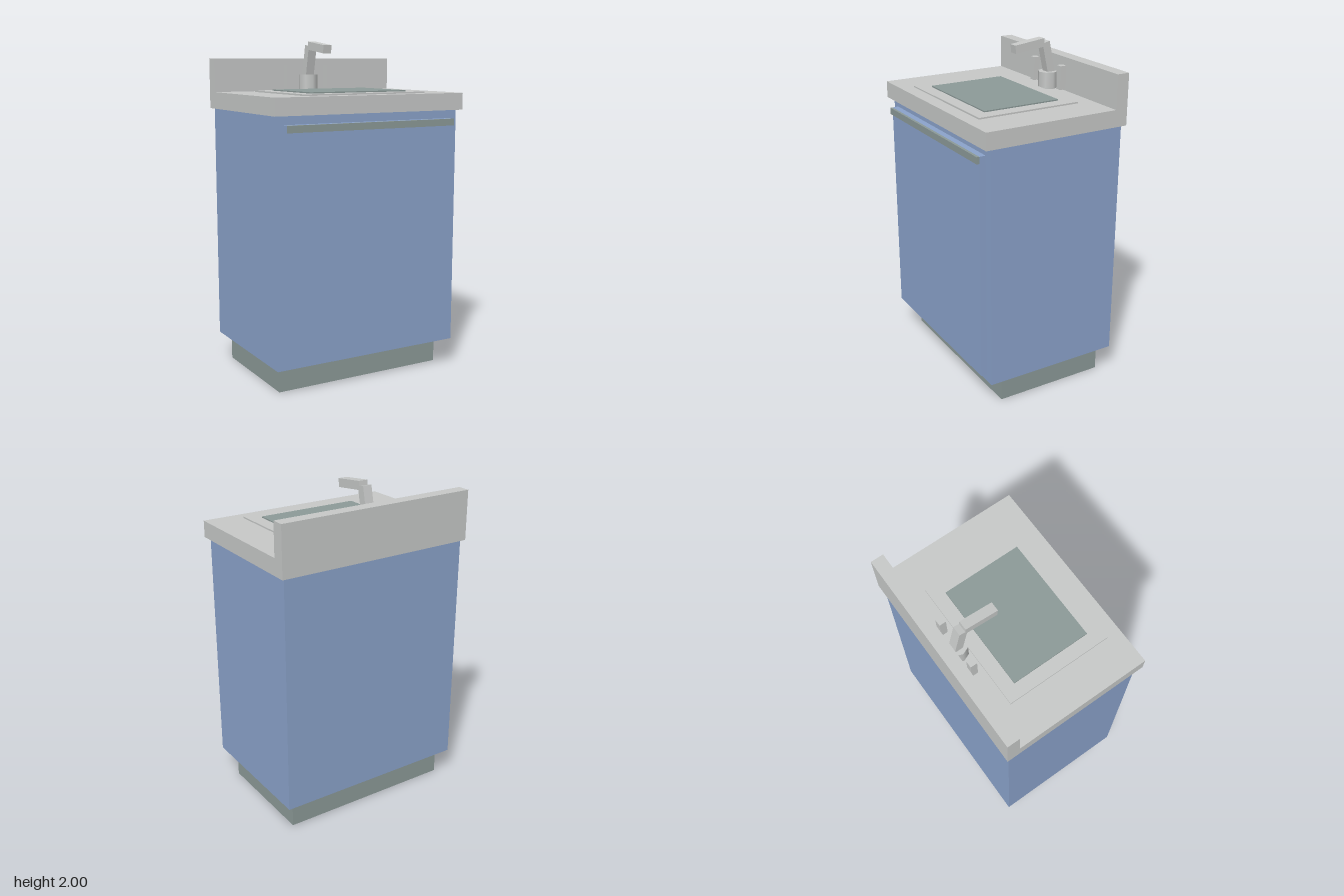
import * as THREE from 'three';

export function createModel() {
  const model = new THREE.Group();
  model.name = 'sinkCabinet';

  const paint = (name, color) => {
    const m = new THREE.MeshStandardMaterial({ color });
    m.name = name;
    return m;
  };
  const blue = paint('cabinetBlue', 0x8ba3cb);
  const grey = paint('counterGrey', 0xc7c9c8);
  const slate = paint('slateGrey', 0x8c9a98);

  const add = (name, geometry, material, x, y, z, tilt = 0) => {
    const mesh = new THREE.Mesh(geometry, material);
    mesh.name = name;
    mesh.position.set(x, y, z);
    mesh.rotation.x = tilt;
    model.add(mesh);
    return mesh;
  };
  // Box given by its half width and its y and z ranges
  const slab = (name, material, halfX, y0, y1, z0, z1, x = 0) =>
    add(name, new THREE.BoxGeometry(halfX * 2, y1 - y0, z1 - z0), material,
      x, (y0 + y1) / 2, (z0 + z1) / 2);

  // Cabinet
  slab('plinth', slate, 0.545, 0, 0.165, -0.38, 0.305);
  slab('cabinetBody', blue, 0.602, 0.165, 1.595, -0.438, 0.405);
  slab('door', blue, 0.55, 0.21, 1.545, 0.405, 0.443);
  slab('doorPull', slate, 0.55, 1.505, 1.545, 0.443, 0.459);

  // Worktop
  slab('countertop', grey, 0.622, 1.595, 1.695, -0.459, 0.443);
  slab('backsplash', grey, 0.622, 1.695, 1.895, -0.459, -0.382);

  // Sink
  slab('sinkRim', grey, 0.401, 1.695, 1.704, -0.281, 0.36);
  slab('basin', slate, 0.321, 1.704, 1.711, -0.2, 0.281);

  // Tap
  add('tapBase', new THREE.CylinderGeometry(0.06, 0.06, 0.1, 8), grey, 0, 1.745, -0.34);
  add('tapRiser', new THREE.BoxGeometry(0.056, 0.22, 0.05), grey, 0, 1.867, -0.33, 0.22);
  add('tapSpout', new THREE.BoxGeometry(0.056, 0.05, 0.2), grey, 0, 1.963, -0.195, 0.12);
  for (const side of [-1, 1]) {
    slab(side > 0 ? 'leftTapHandle' : 'rightTapHandle', grey, 0.02, 1.713, 1.855, -0.361, -0.321, side * 0.142);
  }

  return model;
}
